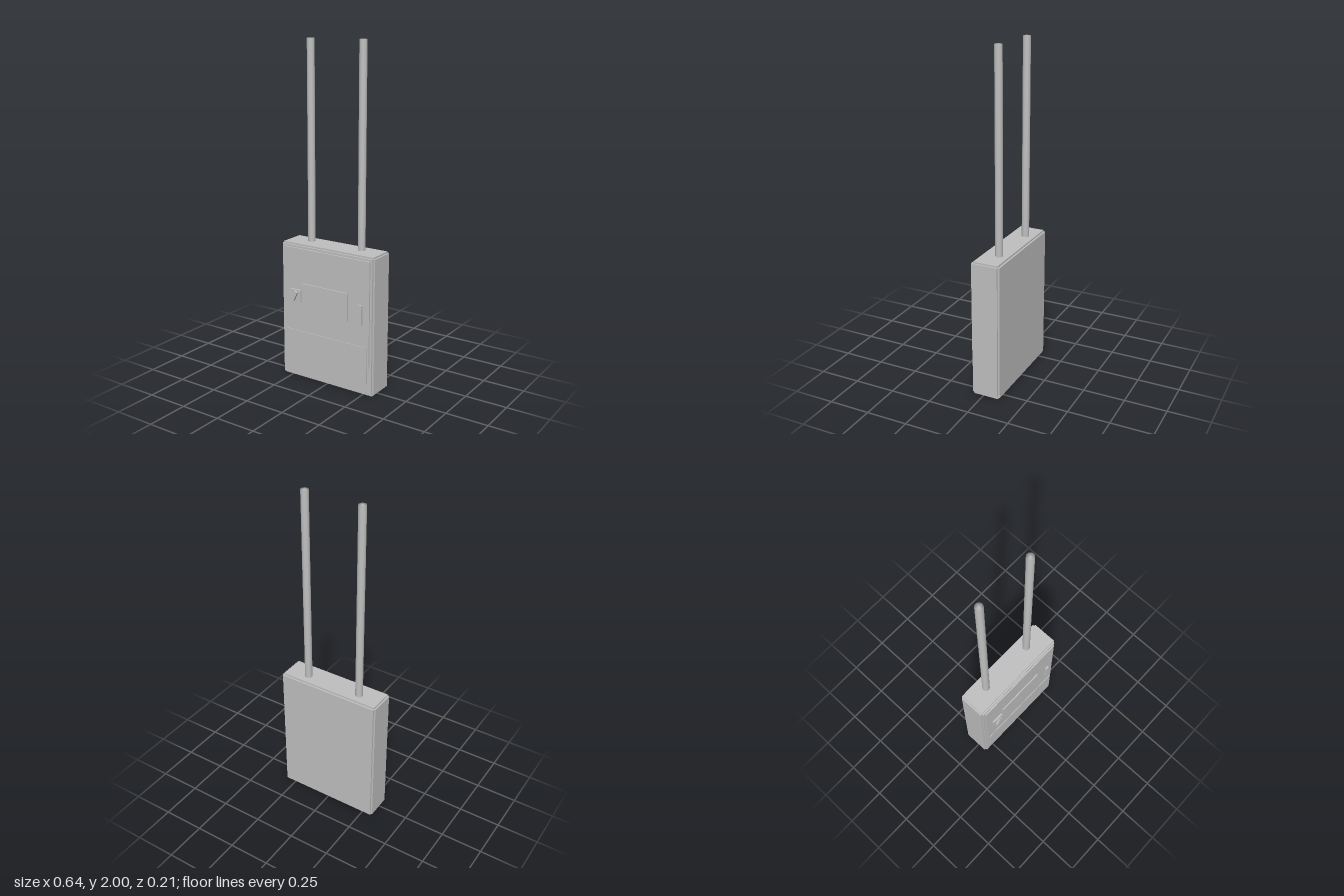
import * as THREE from 'three';
import { mergeVertices } from 'three/addons/utils/BufferGeometryUtils.js';

export function createModel() {
  const model = new THREE.Group();
  model.name = 'utilityCabinet';
  const grey = new THREE.MeshStandardMaterial({ color: 0xbfbfbf });
  grey.name = 'paintedGrey';

  // Box given by its limits on each axis
  function block(name, [x0, x1], [y0, y1], [z0, z1], parent = model) {
    const mesh = new THREE.Mesh(new THREE.BoxGeometry(x1 - x0, y1 - y0, z1 - z0), grey);
    mesh.position.set((x0 + x1) / 2, (y0 + y1) / 2, (z0 + z1) / 2);
    mesh.name = name;
    parent.add(mesh);
    return mesh;
  }

  // Cabinet body: three crossed blocks leave a small step along every edge
  const body = new THREE.Group();
  body.name = 'cabinetBody';
  model.add(body);
  const wide = [-0.318, 0.318], wideIn = [-0.308, 0.308];
  const tall = [0, 0.83], tallIn = [0.01, 0.82];
  const deep = [-0.105, 0.068], deepIn = [-0.094, 0.057];
  block('sideFaces', wide, tallIn, deepIn, body);
  block('topAndBottomFaces', wideIn, tall, deepIn, body);
  block('frontAndBackFaces', wideIn, tallIn, deep, body);

  // Door and the panels mounted on it
  block('door', [-0.295, 0.295], [0.17, 0.807], [0.06, 0.077]);
  block('lowerPanel', [-0.281, 0.281], [0.08, 0.3], [0.06, 0.081]);
  block('middlePanel', [-0.157, 0.154], [0.43, 0.6], [0.07, 0.084]);
  block('handle', [0.23, 0.252], [0.43, 0.548], [0.07, 0.09]);

  // Latch with a slanted turning grip
  block('latchPlate', [-0.246, -0.171], [0.482, 0.556], [0.07, 0.088]);
  const grip = block('latchGrip', [-0.22, -0.198], [0.489, 0.549], [0.08, 0.101]);
  grip.rotation.z = -0.43;

  // Two conduit pipes, with normals shared between wall and caps
  const base = 0.82, height = 2 - base;
  let pipe = new THREE.CylinderGeometry(0.022, 0.022, height, 32);
  pipe.deleteAttribute('uv');
  pipe.deleteAttribute('normal');
  pipe = mergeVertices(pipe);
  pipe.computeVertexNormals();
  for (const [name, x] of [['leftPipe', 0.172], ['rightPipe', -0.174]]) {
    const mesh = new THREE.Mesh(pipe, grey);
    mesh.position.set(x, base + height / 2, -0.036);
    mesh.name = name;
    model.add(mesh);
  }
  return model;
}
